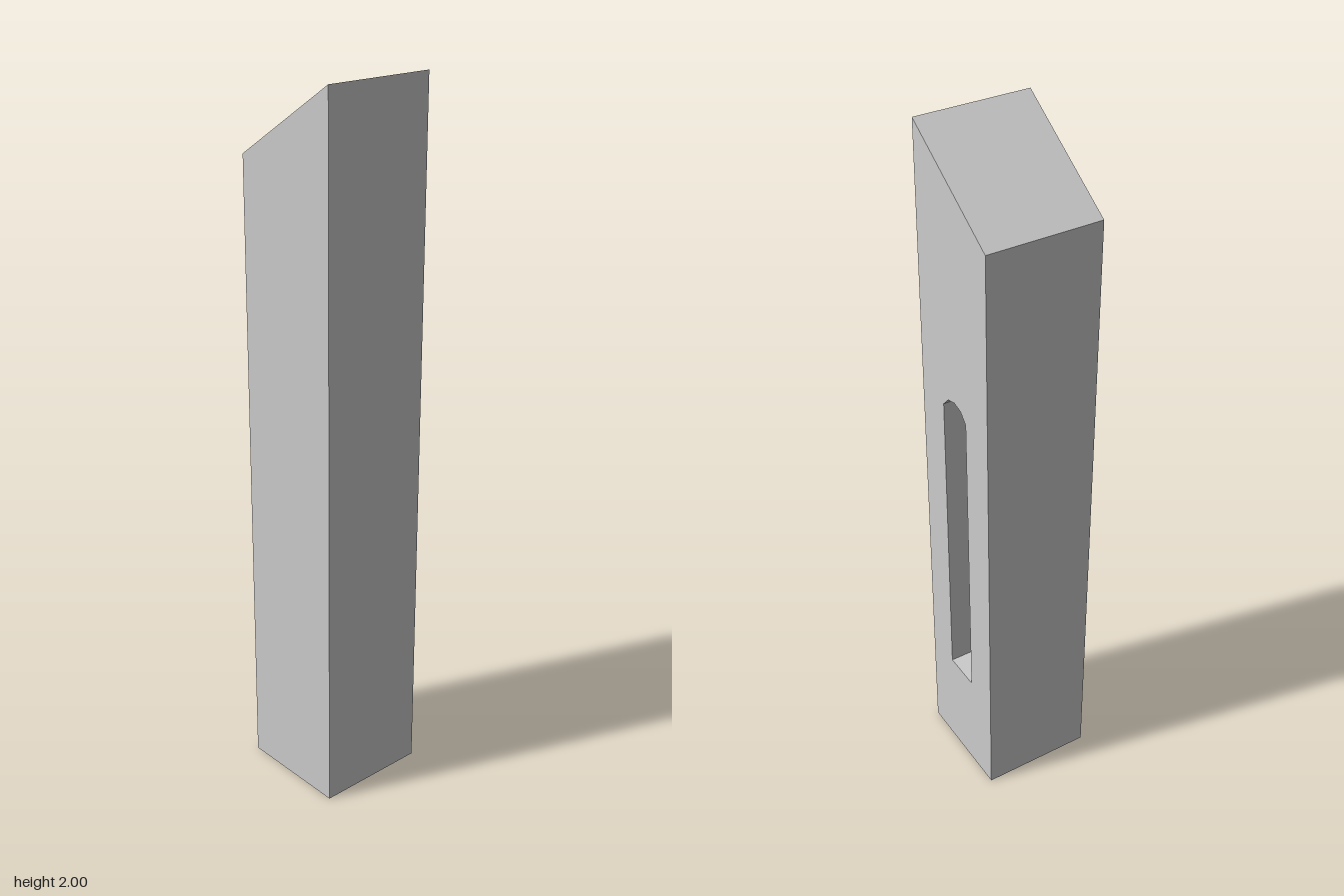
import * as THREE from 'three';

const HALF = 0.163;        // half of the square section
const RECESS_FLOOR = 0.0;  // x of the bottom of the blind slot

// Side profiles as [u, y], u pointing to the back (-z)
const profile = [[-HALF, 0], [HALF, 0], [HALF, 1.79], [-HALF, 2]];
const slot = [
  [-0.056, 0.325], [0.056, 0.325], [0.056, 1.255], [0.031, 1.282],
  [0, 1.29], [-0.031, 1.282], [-0.056, 1.255],
];

const toShape = (pts) => new THREE.Shape(pts.map(([u, v]) => new THREE.Vector2(u, v)));

// Closed band of flat walls following a profile between two depths
function walls(pts, w0, w1) {
  const pos = [];
  pts.forEach(([au, av], i) => {
    const [bu, bv] = pts[(i + 1) % pts.length];
    pos.push(au, av, w0, bu, bv, w0, bu, bv, w1);
    pos.push(au, av, w0, bu, bv, w1, au, av, w1);
  });
  const geo = new THREE.BufferGeometry();
  geo.setAttribute('position', new THREE.Float32BufferAttribute(pos, 3));
  geo.computeVertexNormals();
  return geo;
}

export function createModel() {
  const group = new THREE.Group();
  group.name = 'post';
  const material = new THREE.MeshStandardMaterial({ color: 0xcccccc, flatShading: true });
  const add = (name, geo) => {
    const mesh = new THREE.Mesh(geo.rotateY(Math.PI / 2), material);
    mesh.name = name;
    group.add(mesh);
  };

  // Front, back, underside and sloping top
  add('postWalls', walls(profile, -HALF, HALF));

  // Slotted side
  const slottedFace = toShape(profile);
  slottedFace.holes.push(toShape(slot));
  add('slottedSide', new THREE.ShapeGeometry(slottedFace).translate(0, 0, HALF));

  // Plain side
  const mirrored = profile.map(([u, v]) => [-u, v]);
  add('plainSide', new THREE.ShapeGeometry(toShape(mirrored)).rotateY(Math.PI).translate(0, 0, -HALF));

  // Blind slot with an arched head
  add('slotWalls', walls([...slot].reverse(), RECESS_FLOOR, HALF));
  add('slotFloor', new THREE.ShapeGeometry(toShape(slot)).translate(0, 0, RECESS_FLOOR));

  return group;
}
